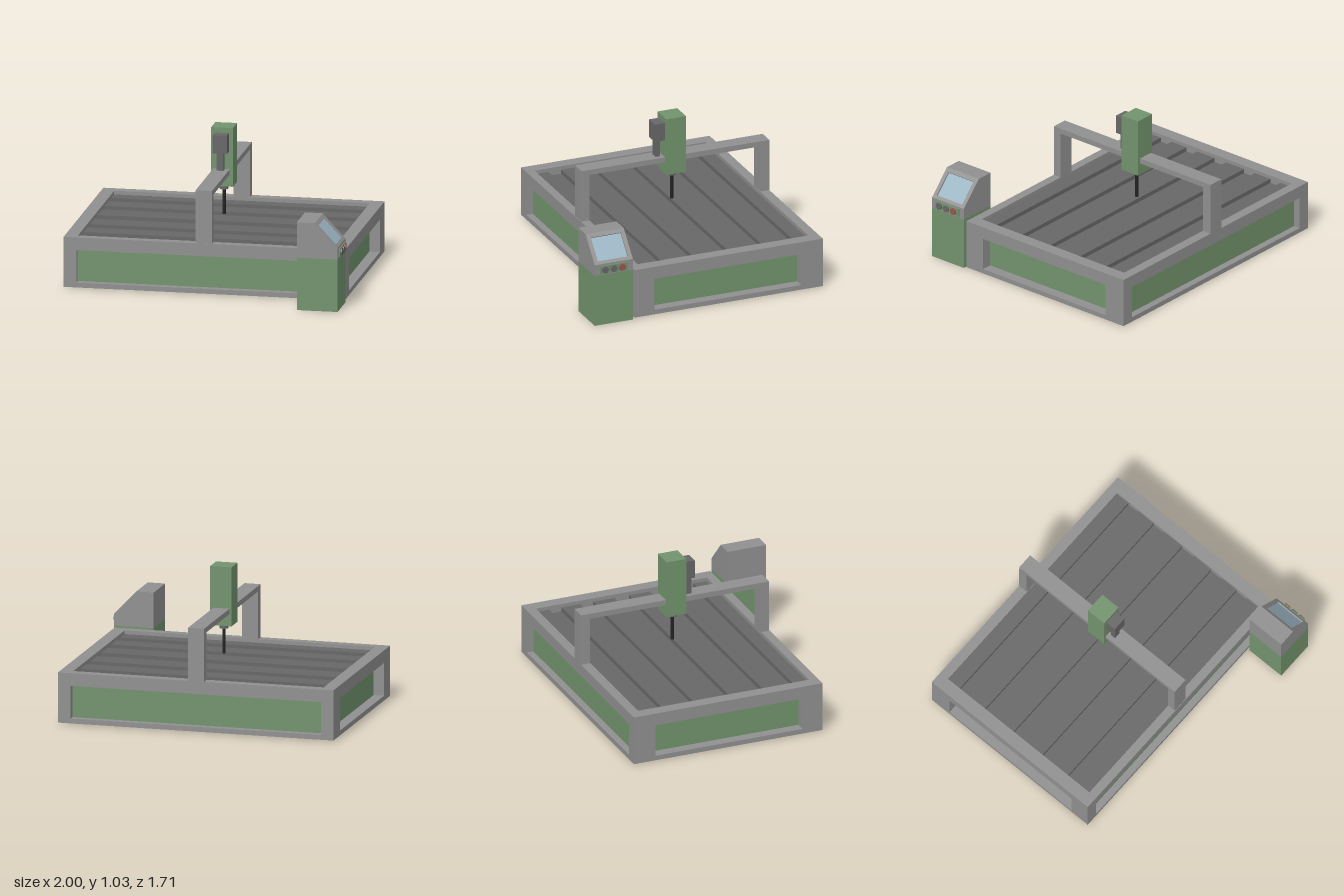
import * as THREE from 'three';

const mat = (color) => new THREE.MeshStandardMaterial({ color });
const GREY = mat(0x909090), GREEN = mat(0x72936d), DARK = mat(0x676767);
const BLACK = mat(0x222222), GLASS = mat(0x9ab4c2), RED = mat(0x98544f);

function add(parent, name, geometry, material) {
  const mesh = new THREE.Mesh(geometry, material);
  mesh.name = name;
  parent.add(mesh);
  return mesh;
}

// Box given by its extents along each axis
function box(parent, name, material, [x0, x1], [y0, y1], [z0, z1]) {
  const mesh = add(parent, name, new THREE.BoxGeometry(x1 - x0, y1 - y0, z1 - z0), material);
  mesh.position.set((x0 + x1) / 2, (y0 + y1) / 2, (z0 + z1) / 2);
  return mesh;
}

// Flat plate with a rectangular window, extruded along +z
function windowPlate([x0, x1], [y0, y1], [hx0, hx1], [hy0, hy1], depth) {
  const rect = (C, a, b, c, d) => {
    const s = new C();
    s.moveTo(a, c); s.lineTo(b, c); s.lineTo(b, d); s.lineTo(a, d); s.closePath();
    return s;
  };
  const shape = rect(THREE.Shape, x0, x1, y0, y1);
  shape.holes.push(rect(THREE.Path, hx0, hx1, hy0, hy1));
  return new THREE.ExtrudeGeometry(shape, { depth, bevelEnabled: false });
}

function createBase() {
  const g = new THREE.Group();
  g.name = 'base';
  const Y = [0.007, 0.361], HY = [0.041, 0.272];

  // Front and back walls with recessed panels
  for (const [side, z, depth, panelZ] of [['front', 0.492, 0.062, 0.49], ['back', -0.855, 0.07, -0.805]]) {
    add(g, side + 'Wall', windowPlate([-1, 0.97], Y, [-0.91, 0.88], HY, depth), GREY).position.z = z;
    box(g, side + 'Panel', GREEN, [-0.91, 0.88], HY, [panelZ, panelZ + 0.015]);
  }
  // End walls with recessed panels
  for (const [side, x, panelX] of [['left', 0.88, 0.88], ['right', -1, -0.925]]) {
    const wall = add(g, side + 'Wall', windowPlate([-0.492, 0.785], Y, [-0.405, 0.695], HY, 0.09), GREY);
    wall.rotation.y = Math.PI / 2;
    wall.position.x = x;
    box(g, side + 'Panel', GREEN, [panelX, panelX + 0.015], HY, [-0.695, 0.405]);
  }
  // Floor, and a bed of wide slats with narrow channels between them
  box(g, 'floor', GREY, [-0.91, 0.88], [0.007, 0.04], [-0.785, 0.492]);
  box(g, 'bed', DARK, [-0.91, 0.88], [0.28, 0.305], [-0.785, 0.492]);
  const slats = [
    [-0.785, -0.684], [-0.594, -0.455], [-0.358, -0.198],
    [-0.091, 0.064], [0.16, 0.294], [0.39, 0.492],
  ];
  for (const z of slats) box(g, 'slat', DARK, [-0.91, 0.88], [0.305, 0.335], z);
  return g;
}

function createGantry() {
  const g = new THREE.Group();
  g.name = 'gantry';
  const X = [-0.075, 0.04];
  box(g, 'frontPost', GREY, X, [0.361, 0.698], [0.49, 0.55]);
  box(g, 'backPost', GREY, X, [0.337, 0.698], [-0.856, -0.788]);
  box(g, 'crossBeam', GREY, X, [0.698, 0.736], [-0.855, 0.55]);

  // Spindle head and cutter
  box(g, 'spindleHousing', GREEN, [-0.09, 0.063], [0.612, 1.028], [-0.222, -0.075]);
  const collar = add(g, 'collet', new THREE.CylinderGeometry(0.031, 0.031, 0.032, 24), DARK);
  collar.position.set(-0.014, 0.596, -0.147);
  const bit = add(g, 'cutter', new THREE.CylinderGeometry(0.012, 0.012, 0.18, 16), BLACK);
  bit.position.set(-0.014, 0.491, -0.147);

  // Drive motor standing on the beam
  box(g, 'driveMotor', DARK, [-0.065, 0.035], [0.861, 0.991], [-0.075, 0]);
  box(g, 'motorStem', DARK, [-0.043, 0.008], [0.736, 0.861], [-0.052, -0.018]);
  return g;
}

function createConsole() {
  const g = new THREE.Group();
  g.name = 'controlConsole';
  const Z = [0.57, 0.855], zMid = 0.7125;
  box(g, 'cabinet', GREEN, [0.695, 0.98], [0, 0.371], Z);

  // Head, set back beneath the sloping screen surround
  const top = 0.622, low = 0.452, t = 0.012;
  const len = Math.hypot(0.16, top - low);
  const nx = (top - low) / len, ny = 0.16 / len;
  const head = new THREE.Shape([
    [0.695, 0.371], [0.98, 0.371], [0.98, low - t / ny],
    [0.82 - t / nx, top], [0.695, top],
  ].map(([x, y]) => new THREE.Vector2(x, y)));
  add(g, 'head', new THREE.ExtrudeGeometry(head, { depth: Z[1] - Z[0], bevelEnabled: false }), GREY)
    .position.z = Z[0];

  // Screen surround: window plate with its back edges mitred to the head
  const surround = windowPlate([-0.1425, 0.1425], [-len / 2, len / 2], [-0.1125, 0.1125], [-0.092, 0.086], t);
  const p = surround.attributes.position;
  for (let i = 0; i < p.count; i++) {
    if (p.getZ(i) > 0.001) continue;
    if (p.getY(i) > 0.11) p.setY(i, len / 2 + t * ny / nx);
    if (p.getY(i) < -0.11) p.setY(i, -len / 2 - t * nx / ny);
  }
  surround.computeVertexNormals();
  const screen = new THREE.Group();
  screen.name = 'screenUnit';
  add(screen, 'screenSurround', surround, GREY);
  box(screen, 'screen', GLASS, [-0.1125, 0.1125], [-0.092, 0.086], [-0.002, 0.002]);
  // Local x runs towards -z, local y up the slope, local z outwards
  screen.quaternion.setFromRotationMatrix(new THREE.Matrix4().makeBasis(
    new THREE.Vector3(0, 0, -1), new THREE.Vector3(-ny, nx, 0), new THREE.Vector3(nx, ny, 0),
  ));
  screen.position.set(0.9 - t * nx, (top + low) / 2 - t * ny, zMid);
  g.add(screen);

  // Button strip
  box(g, 'buttonPanel', GREEN, [0.975, 0.989], [0.381, 0.439], [0.61, 0.818]);
  for (const [z, m] of [[0.782, DARK], [0.718, DARK], [0.655, RED]]) {
    const button = add(g, 'button', new THREE.CylinderGeometry(0.024, 0.024, 0.015, 24), m);
    button.rotation.z = -Math.PI / 2;
    button.position.set(0.9925, 0.411, z);
  }
  return g;
}

export function createModel() {
  const model = new THREE.Group();
  model.name = 'routerTable';
  model.add(createBase(), createGantry(), createConsole());
  return model;
}
